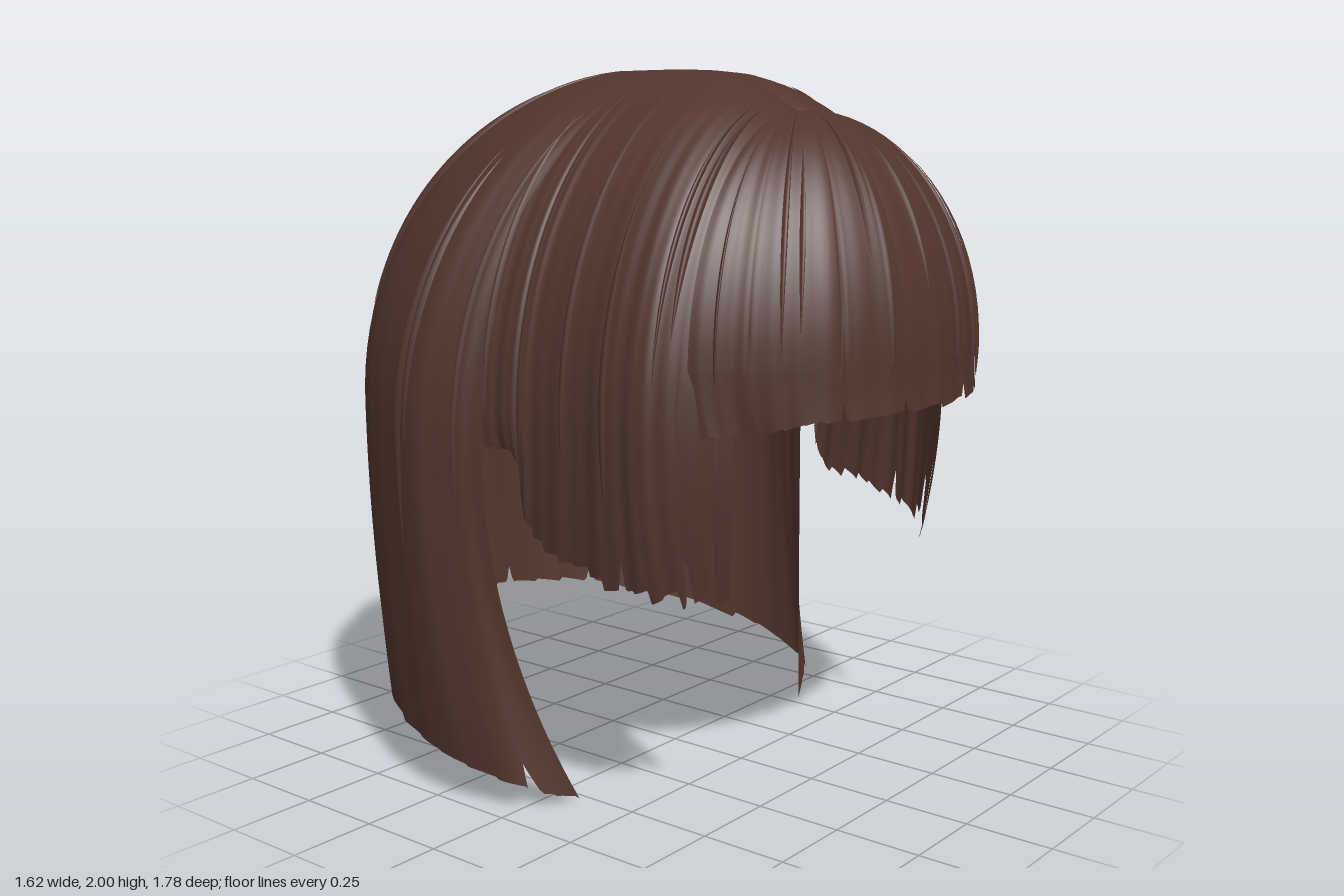
import * as THREE from 'three';

const hair = new THREE.MeshStandardMaterial({ color: 0x52352c, side: THREE.DoubleSide });
hair.name = 'brown hair';

// Small seeded random numbers
const hash = (n) => { const s = Math.sin(n * 127.1 + 11.7) * 43758.5453; return s - Math.floor(s); };
const V = (x, y, z) => new THREE.Vector3(x, y, z);

// Each guide: parting z, widest point x y z, tip x y z
const mirror = (keys) => keys.map(([r, a, b, c, d, e, f]) => [r, -a, b, c, -d, e, f]);
const wrap = (keys) => [...keys, ...mirror(keys).reverse().slice(1)];

const BACK = wrap([
  [0.15, 0.74, 1.0, -0.06, 0.53, 0.0, 0.09],
  [0.1, 0.78, 1.0, -0.15, 0.69, 0.06, 0.0],
  [0.05, 0.805, 1.02, -0.27, 0.745, 0.12, -0.22],
  [0.0, 0.74, 1.05, -0.47, 0.70, 0.175, -0.45],
  [-0.05, 0.63, 1.08, -0.64, 0.58, 0.215, -0.62],
  [-0.1, 0.43, 1.1, -0.79, 0.41, 0.27, -0.75],
  [-0.1, 0.22, 1.1, -0.86, 0.2, 0.305, -0.82],
  [-0.1, 0, 1.1, -0.885, 0, 0.315, -0.83],
]);
const SIDE = [
  [0.0, 0.725, 1.1, -0.08, 0.715, 1.0, -0.07],
  [0.07, 0.71, 1.1, 0.02, 0.695, 0.98, 0.02],
  [0.12, 0.7, 1.1, 0.07, 0.68, 0.77, 0.05],
  [0.22, 0.69, 1.1, 0.22, 0.67, 0.7, 0.2],
  [0.32, 0.685, 1.1, 0.36, 0.65, 0.65, 0.36],
  [0.4, 0.65, 1.1, 0.47, 0.59, 0.63, 0.48],
  [0.43, 0.52, 1.1, 0.6, 0.475, 0.62, 0.56],
];
const FRINGE = wrap(mirror([
  [0.43, 0.6, 1.25, 0.52, 0.58, 1.07, 0.55],
  [0.43, 0.51, 1.25, 0.63, 0.49, 1.08, 0.64],
  [0.43, 0.4, 1.25, 0.755, 0.4, 1.11, 0.76],
  [0.43, 0.21, 1.25, 0.855, 0.21, 1.12, 0.86],
  [0.43, 0, 1.25, 0.885, 0, 1.12, 0.89],
]));

// A layer of hair: strands arch from the parting to the widest point, then hang to the tip
function makeLayer(keys, { clumps, jag, ripple, slits, seed }) {
  const curve = (f) => new THREE.CatmullRomCurve3(keys.map(f), false, 'catmullrom', 0.5);
  const roots = curve(([r]) => V(0, 2.004 - 1.45 * Math.max(0, r) ** 3, r));
  const wides = curve((k) => V(k[1], k[2], k[3]));
  const tips = curve((k) => V(k[4], k[5], k[6]));
  const end = (u) => {
    const c = u * clumps, id = Math.floor(c);
    let e = 1 - jag * (0.65 * hash(id + seed) + 0.35 * (c - id));
    for (const [at, depth, width] of slits) e -= depth * Math.max(0, 1 - Math.abs(u - at) / width);
    return e;
  };
  const point = (u, t, lift = 0) => {
    const R = roots.getPoint(u), W = wides.getPoint(u), T = tips.getPoint(u);
    const p = V();
    if (t < 0.55) {
      const s = (t / 0.55) * Math.PI / 2, k = Math.sin(s);
      p.set(R.x + (W.x - R.x) * k, W.y + (R.y - W.y) * Math.cos(s), R.z + (W.z - R.z) * k);
    } else {
      const s = (t - 0.55) / 0.45, k = s * s;
      p.set(W.x + (T.x - W.x) * k, W.y + (T.y - W.y) * s, W.z + (T.z - W.z) * k);
    }
    p.y -= 0.018 * Math.exp(-t * 80); // groove along the parting
    const wave = Math.sin(u * clumps * 2.1 + seed) + 0.6 * Math.sin(u * clumps * 4.7 + seed * 2);
    const out = V(p.x, Math.max(0, p.y - 1.1), p.z + 0.05).normalize();
    return p.addScaledVector(out, lift + ripple * wave * Math.min(1, t * 1.6));
  };
  return { point, end, seed };
}

// Grid surface from a function of two parameters
function surface(name, nu, nt, at) {
  const pos = [], idx = [];
  for (let i = 0; i <= nu; i++) for (let j = 0; j <= nt; j++) {
    const p = at(i / nu, j / nt);
    pos.push(p.x, p.y, p.z);
    if (i < nu && j < nt) {
      const a = i * (nt + 1) + j, b = a + nt + 1;
      idx.push(a, a + 1, b, b, a + 1, b + 1);
    }
  }
  const g = new THREE.BufferGeometry();
  g.setAttribute('position', new THREE.Float32BufferAttribute(pos, 3));
  g.setIndex(idx);
  g.computeVertexNormals();
  const m = new THREE.Mesh(g, hair);
  m.name = name;
  return m;
}

// Full layer with a ragged hem
const sheet = (name, layer, nu, nt) =>
  surface(name, nu, nt, (u, t) => layer.point(u, t * layer.end(u)));

// Thin raised locks lying on a layer, pointed at both ends
function locks(name, layer, count, width, lift) {
  const group = new THREE.Group();
  group.name = name;
  for (let i = 0; i < count; i++) {
    const r = (k) => hash(layer.seed * 31 + i * 7.3 + k);
    const u0 = 0.03 + 0.94 * (i + r(1)) / count, lean = (r(2) - 0.5) * width * 2;
    const t0 = 0.06 + 0.2 * r(3), t1 = Math.min(0.96, t0 + 0.3 + 0.4 * r(4));
    const w = width * (0.5 + r(5));
    group.add(surface('lock', 4, 24, (v, s) => {
      const taper = Math.sin(Math.PI * (0.02 + 0.96 * s)), x = 2 * v - 1;
      const u = THREE.MathUtils.clamp(u0 + lean * s + x * w * taper, 0, 1);
      return layer.point(u, (t0 + (t1 - t0) * s) * Math.min(1, layer.end(u0)),
        lift * (1 - x * x) * taper + 0.002);
    }));
  }
  return group;
}

// Plain panel following a layer at some distance inside it
const panel = (name, layer, u0, u1, t0, t1, lift) =>
  surface(name, 16, 16, (u, t) => layer.point(u0 + (u1 - u0) * u, t0 + (t1 - t0) * t, lift));

export function createModel() {
  const model = new THREE.Group();
  model.name = 'bobHair';

  // Long back section
  const back = makeLayer(BACK, {
    clumps: 34, jag: 0.012, ripple: 0.0015, seed: 3,
    slits: [[0.55, 0.22, 0.007], [0.655, 0.05, 0.006], [0.45, 0.03, 0.005], [0.345, 0.03, 0.005],
      [0.05, 0.04, 0.008], [0.95, 0.04, 0.008]],
  });
  model.add(sheet('backHair', back, 300, 50), locks('backLocks', back, 15, 0.005, 0.01));

  // Inner layers behind the face opening
  model.add(panel('innerCap', back, 0.34, 0.66, 0.25, 0.56, -0.05));
  model.add(panel('innerLockLeft', back, 0.335, 0.385, 0.66, 0.93, -0.07));
  model.add(panel('innerLockRight', back, 0.605, 0.665, 0.58, 0.95, -0.07));
  model.add(panel('innerSideLeft', back, 0.27, 0.36, 0.76, 0.97, -0.035));
  model.add(panel('innerSideRight', back, 0.64, 0.73, 0.76, 0.97, -0.035));

  // Cheek-length side sections
  const sideOptions = (flip, seed) => ({
    clumps: 20, jag: 0.06, ripple: 0.003, seed,
    slits: [[0.95, 0.3, 0.012], [0.88, 0.16, 0.012], [0.66, 0.1, 0.01]]
      .map(([u, d, w]) => [flip ? 1 - u : u, d, w]),
  });
  const left = makeLayer([...SIDE].reverse(), sideOptions(true, 5));
  const right = makeLayer(mirror(SIDE), sideOptions(false, 8));
  model.add(sheet('leftSideHair', left, 130, 50), locks('leftSideLocks', left, 6, 0.01, 0.012));
  model.add(sheet('rightSideHair', right, 130, 50), locks('rightSideLocks', right, 6, 0.01, 0.012));

  // Fringe fanning out from the front of the parting
  const fringe = makeLayer(FRINGE, {
    clumps: 26, jag: 0.06, ripple: 0.003, seed: 12,
    slits: [[0.3, 0.15, 0.005], [0.41, 0.1, 0.005], [0.58, 0.15, 0.005], [0.69, 0.12, 0.005],
      [0.13, 0.15, 0.007], [0.87, 0.15, 0.007]],
  });
  model.add(sheet('fringe', fringe, 200, 40), locks('fringeLocks', fringe, 11, 0.006, 0.01));

  return model;
}
